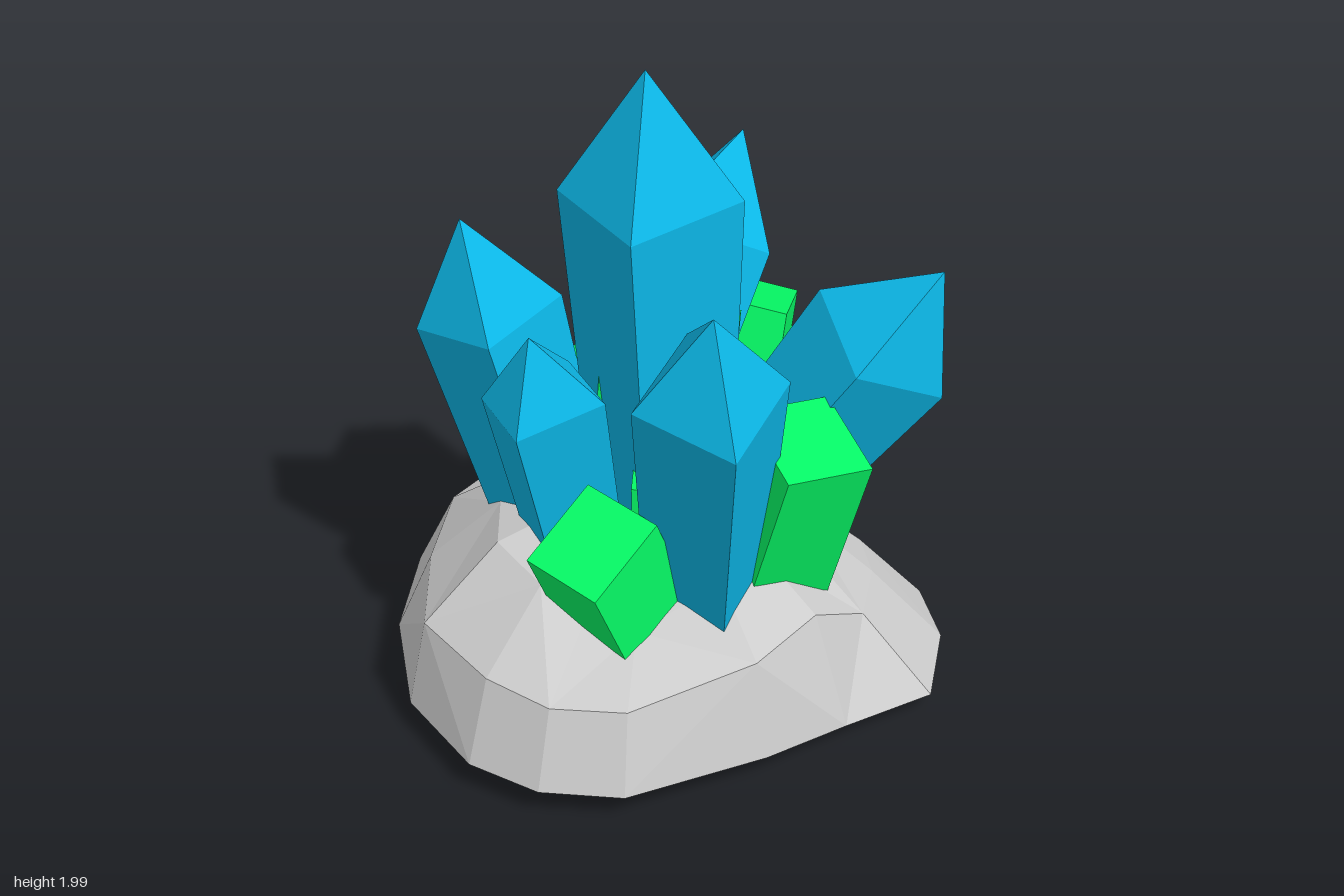
import * as THREE from 'three';

const material = (color, side = THREE.FrontSide) =>
  new THREE.MeshStandardMaterial({ color, flatShading: true, side });

const V = (a) => new THREE.Vector3(...a);

// Four-sided prism. centre: middle of the upper ring; d1, d2: half diagonals of
// that ring; axis: lean of the prism; tip: 1 for a point at centre + axis, 0 for flat.
function prism(name, mat, centre, d1, d2, axis, tip, baseY, taper) {
  const k = (centre[1] - baseY) / axis[1];
  const profile = [[0, -k], [taper, -k], [1, 0], [0, tip]].map((p) => new THREE.Vector2(...p));
  const x = V(d1), y = V(axis), z = V(d2);
  if (x.clone().cross(y).dot(z) < 0) z.negate();
  const matrix = new THREE.Matrix4().makeBasis(x, y, z).setPosition(...centre);
  const geometry = new THREE.LatheGeometry(profile, 4).applyMatrix4(matrix).toNonIndexed();
  geometry.computeVertexNormals();
  const mesh = new THREE.Mesh(geometry, mat);
  mesh.name = name;
  return mesh;
}

// Faceted shell made of rings that follow the rim outline
function rock() {
  // x, z of the rim, radius factor and height of the shoulder, rise to the inner ring
  const rim = [
    [0, -0.75, 0.84, 0.28, 0.17], [0.27, -0.69, 0.8, 0.26, 0.19], [0.5, -0.56, 0.78, 0.26, 0.17],
    [0.66, -0.38, 0.76, 0.26, 0.16], [0.76, -0.17, 0.76, 0.24, 0.17], [0.81, 0.04, 0.76, 0.25, 0.2],
    [0.8, 0.28, 0.76, 0.28, 0.19], [0.71, 0.5, 0.75, 0.29, 0.19], [0.5, 0.72, 0.75, 0.3, 0.21],
    [0.2, 0.71, 0.83, 0.41, 0.12], [-0.08, 0.71, 0.9, 0.37, 0.14], [-0.52, 0.65, 0.9, 0.33, 0.1],
    [-0.71, 0.5, 0.9, 0.33, 0.12], [-0.81, 0.29, 0.9, 0.35, 0.18], [-0.81, -0.05, 0.93, 0.36, 0.2],
    [-0.65, -0.41, 0.86, 0.34, 0.19], [-0.42, -0.69, 0.84, 0.34, 0.16], [-0.2, -0.71, 0.88, 0.36, 0.11],
  ];
  const n = rim.length;
  const under = (x, z) => Math.max(0, 0.04 - 0.03 * x + 0.035 * z);
  const rings = [
    ([x, z]) => [x * 0.97, under(x, z), z * 0.97],
    ([x, z]) => [x, under(x, z) + 0.03 - 0.02 * z, z],
    ([x, z, f, y]) => [x * f, y, z * f],
    ([x, z, f, y, rise]) => [x * f * 0.68, y + rise, z * f * 0.68],
    ([x, z]) => [x * 0.25, 0.62, z * 0.25],
    () => [0, 0.64, 0],
  ];
  const positions = rings.flatMap((ring) => rim.flatMap(ring));
  const index = [];
  for (let r = 0; r < rings.length - 1; r++) {
    for (let i = 0; i < n; i++) {
      const j = (i + 1) % n;
      const a = r * n + i, b = r * n + j, c = a + n, d = b + n;
      // alternate the diagonals for an uneven, chipped look
      if (r === rings.length - 2) index.push(a, c, b);
      else if ((i + r) % 2) index.push(a, c, b, b, c, d);
      else index.push(a, c, d, a, d, b);
    }
  }
  const geometry = new THREE.BufferGeometry();
  geometry.setAttribute('position', new THREE.Float32BufferAttribute(positions, 3));
  geometry.setIndex(index);
  const flat = geometry.toNonIndexed();
  flat.computeVertexNormals();
  const mesh = new THREE.Mesh(flat, material(0xcccccc, THREE.DoubleSide));
  mesh.name = 'rockBase';
  return mesh;
}

export function createModel() {
  const model = new THREE.Group();
  model.name = 'crystalCluster';
  model.add(rock());

  // Pointed crystals: shoulder centre, two half diagonals, shoulder-to-tip vector, base height
  const blue = material(0x0cb8e8);
  const pointed = {
    centreCrystal: [[-0.08, 1.62, 0.105], [-0.18, -0.015, -0.19], [0.185, 0.015, -0.19], [-0.015, 0.38, 0], 0.5],
    frontCrystal: [[-0.15, 1.21, 0.51], [-0.21, -0.015, -0.07], [-0.075, -0.06, 0.228], [-0.04, 0.29, 0.065]],
    frontLeftCrystal: [[0.54, 1.07, 0.355], [0.18, -0.01, -0.125], [0.1, -0.13, 0.165], [0.115, 0.26, 0.125]],
    backLeftCrystal: [[0.405, 1.17, -0.31], [-0.045, -0.02, -0.24], [0.195, -0.11, -0.02], [0.14, 0.28, -0.04]],
    backRightCrystal: [[-0.36, 1.14, -0.305], [-0.18, -0.05, -0.105], [0.11, -0.005, -0.185], [-0.06, 0.3, -0.045]],
    rightCrystal: [[-0.39, 1.03, 0.035], [-0.12, -0.02, -0.135], [-0.15, -0.025, 0.105], [-0.05, 0.23, 0.015]],
  };
  for (const [name, [centre, d1, d2, axis, baseY = 0.3]] of Object.entries(pointed))
    model.add(prism(name, blue, centre, d1, d2, axis, 1, baseY, 0.76));

  // Flat-topped blocks: top centre, two edge vectors of the top, lean, base height
  const green = material(0x06fb66);
  const blocks = {
    frontBlock: [[0.19, 0.945, 0.495], [0.25, -0.01, 0.05], [0.04, 0.08, -0.27], [0.02, 1, 0.33]],
    rightBlock: [[-0.42, 0.735, 0.33], [0.24, 0.13, -0.06], [0.06, -0.01, 0.26], [-0.45, 1, 0.15]],
    backBlock: [[0.04, 0.79, -0.45], [0.27, 0.01, -0.04], [0.04, 0.11, 0.24], [0, 1, -0.42]],
    leftBlock: [[0.485, 0.98, -0.215], [0.2, -0.09, -0.22], [-0.17, 0.03, -0.2], [0.29, 1, -0.17]],
    smallLeftBlock: [[0.48, 0.72, 0.125], [-0.03, 0.03, 0.22], [-0.18, 0.05, -0.03], [0.33, 1, -0.12]],
    middleBlock: [[0.03, 1.13, 0.05], [0.25, -0.03, 0.24], [-0.24, 0.01, 0.26], [0.05, 1, 0.05], 0.5],
    smallInnerBlock: [[-0.15, 0.82, 0.28], [0.14, -0.02, 0.1], [-0.1, 0.02, 0.14], [-0.05, 1, 0.05], 0.45],
  };
  for (const [name, [centre, e1, e2, axis, baseY = 0.3]] of Object.entries(blocks)) {
    const d1 = e1.map((v, i) => (v + e2[i]) / 2);
    const d2 = e1.map((v, i) => (v - e2[i]) / 2);
    model.add(prism(name, green, centre, d1, d2, axis, 0, baseY, 1));
  }
  return model;
}
